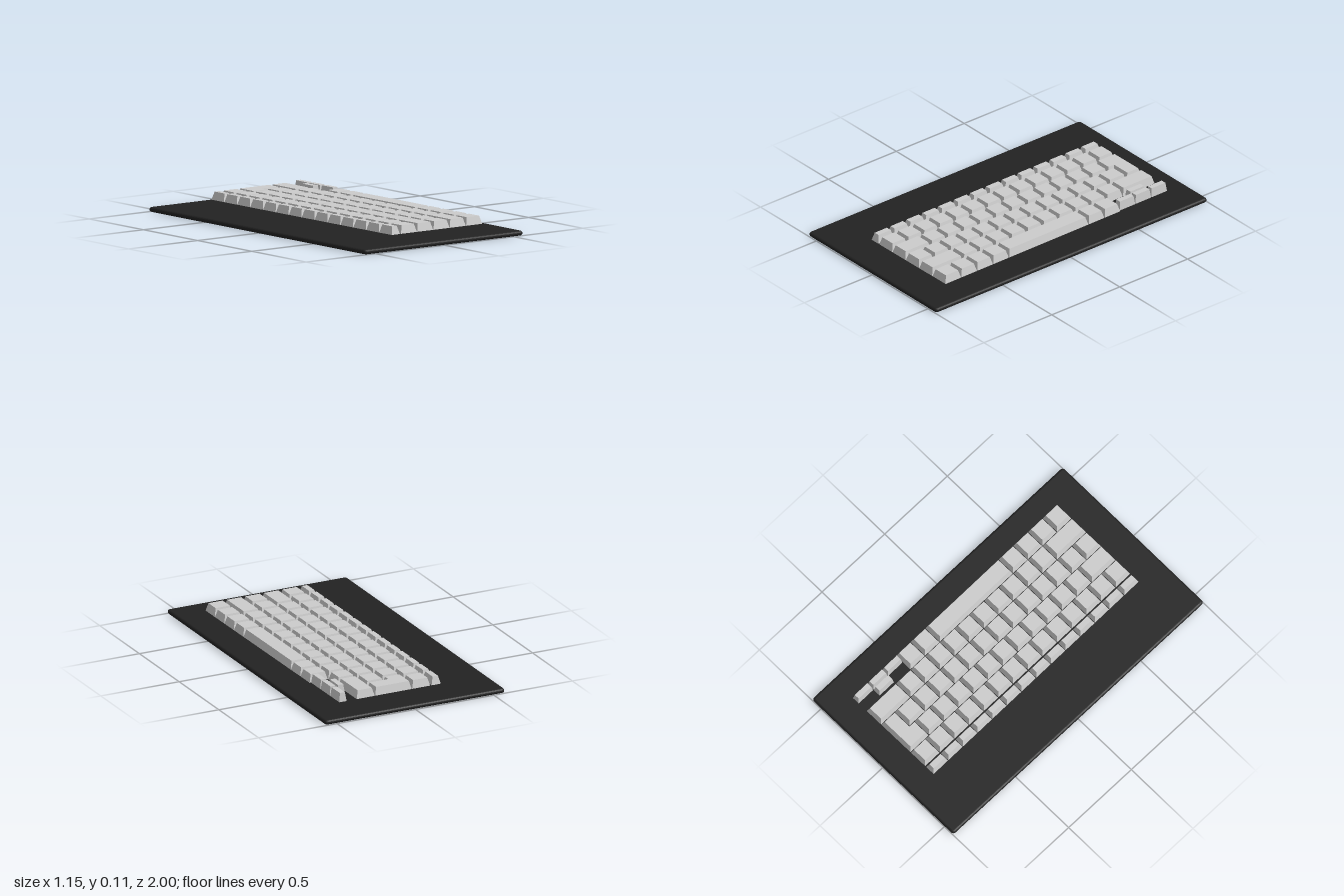
import * as THREE from 'three';

const keyMat = new THREE.MeshStandardMaterial({ color: 0xcccccc, flatShading: true });
const baseMat = new THREE.MeshStandardMaterial({ color: 0x222222 });

const Z0 = -0.838, U = 1.65 / 14; // back edge of the key field and one key pitch
const Y0 = 0.058, Y1 = 0.105;     // key bottom and top
const GAP = 0.0015, TAPER = 0.0125;

// Moves every edge of a right-angled outline (x, z) inwards by d
function inset(points, d) {
  const n = points.length;
  return points.map((p, i) => {
    const a = p.clone().sub(points[(i + n - 1) % n]).normalize();
    const b = points[(i + 1) % n].clone().sub(p).normalize();
    return new THREE.Vector2(p.x - (a.y + b.y) * d, p.y + (a.x + b.x) * d);
  });
}

// Tapered keycap standing on a right-angled outline
function keycap(name, outline, top = Y1, taper = TAPER) {
  const lower = inset(outline.map(([x, z]) => new THREE.Vector2(x, z)), GAP);
  const upper = inset(lower, taper);
  const pos = [];
  const put = (p, y) => pos.push(p.x, y, p.y);
  lower.forEach((a, i) => {
    const j = (i + 1) % lower.length;
    put(a, Y0); put(upper[j], top); put(lower[j], Y0);
    put(a, Y0); put(upper[i], top); put(upper[j], top);
  });
  for (const [a, b, c] of THREE.ShapeUtils.triangulateShape(lower, [])) {
    put(lower[a], Y0); put(lower[b], Y0); put(lower[c], Y0);
    put(upper[a], top); put(upper[c], top); put(upper[b], top);
  }
  const geo = new THREE.BufferGeometry();
  geo.setAttribute('position', new THREE.Float32BufferAttribute(pos, 3));
  geo.computeVertexNormals();
  const mesh = new THREE.Mesh(geo, keyMat);
  mesh.name = name;
  return mesh;
}

const rect = (x0, x1, u0, u1) => {
  const a = Z0 + u0 * U, b = Z0 + u1 * U;
  return [[x0, a], [x1, a], [x1, b], [x0, b]];
};

// Slab with rounded edges
function createBase() {
  const b = 0.0139, w = 0.573 - b, l = 1 - b, r = 0.006;
  const s = new THREE.Shape();
  s.moveTo(-w + r, -l);
  s.lineTo(w - r, -l); s.quadraticCurveTo(w, -l, w, -l + r);
  s.lineTo(w, l - r); s.quadraticCurveTo(w, l, w - r, l);
  s.lineTo(-w + r, l); s.quadraticCurveTo(-w, l, -w, l - r);
  s.lineTo(-w, -l + r); s.quadraticCurveTo(-w, -l, -w + r, -l);
  const geo = new THREE.ExtrudeGeometry(s, {
    depth: 0.0002, bevelThickness: b, bevelSize: b, bevelSegments: 6, curveSegments: 4,
  });
  geo.rotateX(-Math.PI / 2).translate(0, b, 0);
  const mesh = new THREE.Mesh(geo, baseMat);
  mesh.name = 'base';
  return mesh;
}

export function createModel() {
  const model = new THREE.Group();
  model.name = 'keyboard';
  model.add(createBase());

  const keys = new THREE.Group();
  keys.name = 'keys';
  keys.rotation.y = 0.007; // the key field sits slightly askew
  model.add(keys);

  // Rows run along z: x range, start in key units, then the key lengths
  const ones = (n, size = 1) => Array(n).fill(size);
  const rows = [
    ['functionKey', -0.241, -0.179, 0, ones(14)],
    ['numberKey', -0.173, -0.055, 0, ones(14)],
    ['upperKey', -0.055, 0.063, 1.26, [...ones(11, 1.009), 1.641]],
    ['homeKey', 0.063, 0.182, 0.92, [1.08, ...ones(12)]],
    ['lowerKey', 0.182, 0.3, 0, [2, ...ones(10), 2]],
    ['bottomKey', 0.3, 0.419, 3, [1, 1, 5, ...ones(4)]],
  ];
  for (const [name, x0, x1, start, sizes] of rows) {
    let u = start;
    for (const size of sizes) {
      keys.add(keycap(size === 5 ? 'spaceBar' : name, rect(x0, x1, u, u + size)));
      u += size;
    }
  }

  // L-shaped enter key
  const zShort = Z0 + 0.92 * U, zLong = Z0 + 1.26 * U;
  keys.add(keycap('enterKey', [
    [-0.055, Z0], [0.182, Z0], [0.182, zShort], [0.063, zShort], [0.063, zLong], [-0.055, zLong],
  ]));

  // Half-size arrow keys, slightly taller
  for (const [x0, x1, u] of [[0.362, 0.411, 0], [0.362, 0.411, 1], [0.362, 0.411, 2], [0.312, 0.362, 1]]) {
    keys.add(keycap('arrowKey', rect(x0, x1, u, u + 1), 0.111, 0.007));
  }
  return model;
}
